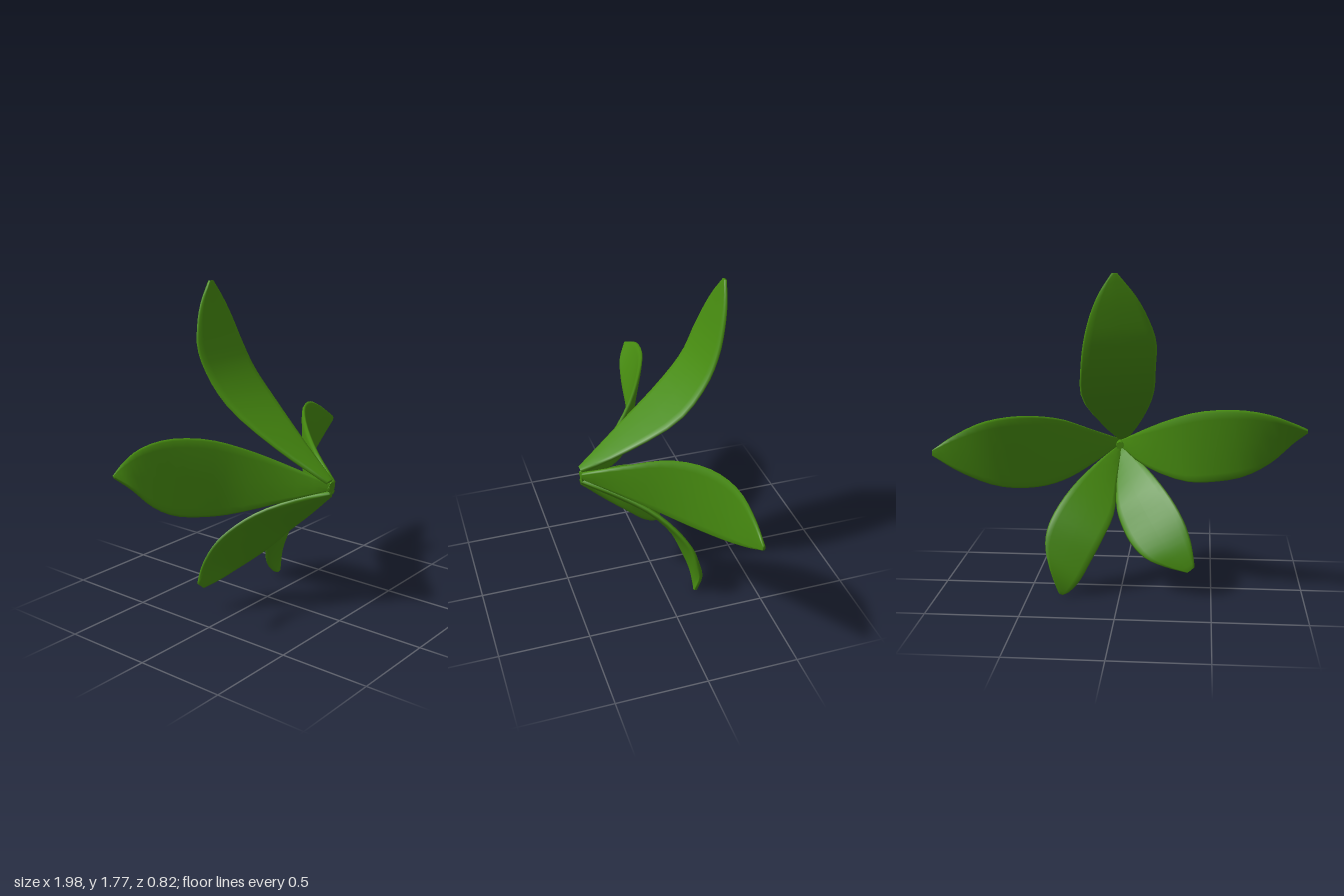
import * as THREE from 'three';

const material = new THREE.MeshStandardMaterial({ color: 0x468a10 });
const STEPS = 20;
const HALF_THICKNESS = 0.013;
// Across the blade: [fraction of width, thickness factor]; rounded rims, flat middle
const PROFILE = [[0, 0], [0.03, 0.75], [0.12, 1], [0.5, 1.1], [0.88, 1], [0.97, 0.75], [1, 0]];

const edgeCurve = (points) =>
  new THREE.CatmullRomCurve3(points.map((p) => new THREE.Vector3(...p)), false, 'centripetal');

// Thin solid blade lofted between its two edges, both running from root to tip
function makeLeaf(name, leftPoints, rightPoints) {
  const left = edgeCurve(leftPoints);
  const right = edgeCurve(rightPoints);
  const ring = [
    ...PROFILE,
    ...PROFILE.slice(1, -1).reverse().map(([f, h]) => [f, -h]),
  ];
  const n = ring.length;
  const positions = [];
  const index = [];
  const mid = (t) => left.getPoint(t).lerp(right.getPoint(t), 0.5);

  for (let i = 0; i <= STEPS; i++) {
    const t = i / STEPS;
    const a = left.getPoint(t);
    const b = right.getPoint(t);
    const along = mid(Math.min(1, t + 0.02)).sub(mid(Math.max(0, t - 0.02)));
    const normal = b.clone().sub(a).cross(along).normalize();
    const half = HALF_THICKNESS * (1 - 0.4 * t ** 4);
    for (const [f, h] of ring) {
      positions.push(...a.clone().lerp(b, f).addScaledVector(normal, h * half).toArray());
    }
  }
  for (let i = 0; i < STEPS; i++) {
    for (let j = 0; j < n; j++) {
      const k = (j + 1) % n;
      const p = i * n + j, q = i * n + k;
      index.push(p, q, q + n, p, q + n, p + n);
    }
  }
  // Close root and tip
  const root = positions.length / 3;
  positions.push(...mid(0).toArray(), ...mid(1).toArray());
  for (let j = 0; j < n; j++) {
    const k = (j + 1) % n;
    index.push(root, k, j, root + 1, STEPS * n + j, STEPS * n + k);
  }

  const geometry = new THREE.BufferGeometry();
  geometry.setAttribute('position', new THREE.Float32BufferAttribute(positions, 3));
  geometry.setIndex(index);
  geometry.computeVertexNormals();
  const leaf = new THREE.Mesh(geometry, material);
  leaf.name = name;
  return leaf;
}

export function createModel() {
  const group = new THREE.Group();
  group.name = 'leafCluster';

  // Tall leaf, arching up and back
  group.add(makeLeaf('topLeaf',
    [[0, 0.77, 0.4], [-0.1, 0.93, 0.15], [-0.18, 1.13, -0.12], [-0.195, 1.28, -0.25],
      [-0.2, 1.43, -0.32], [-0.16, 1.55, -0.355], [-0.1, 1.66, -0.38], [-0.01, 1.77, -0.4]],
    [[0.05, 0.77, 0.4], [0.13, 0.9, 0.18], [0.21, 1.1, -0.1], [0.195, 1.28, -0.25],
      [0.17, 1.43, -0.32], [0.13, 1.57, -0.36], [0.08, 1.68, -0.385], [0.02, 1.77, -0.4]]));

  // Side leaves, sweeping outward and back
  group.add(makeLeaf('leftLeaf',
    [[0.06, 0.77, 0.4], [0.2, 0.87, 0.18], [0.35, 0.96, 0.0], [0.54, 1.0, -0.15],
      [0.72, 0.98, -0.23], [0.88, 0.905, -0.255], [0.99, 0.83, -0.26]],
    [[0.05, 0.73, 0.4], [0.19, 0.655, 0.2], [0.32, 0.605, 0.04], [0.46, 0.59, -0.08],
      [0.65, 0.62, -0.19], [0.85, 0.71, -0.245], [0.99, 0.8, -0.26]]));
  group.add(makeLeaf('rightLeaf',
    [[0.03, 0.72, 0.4], [-0.12, 0.65, 0.2], [-0.35, 0.61, 0.03], [-0.5, 0.625, -0.025],
      [-0.67, 0.67, -0.065], [-0.82, 0.76, -0.08], [-0.92, 0.865, -0.1], [-0.99, 0.935, -0.15]],
    [[0.03, 0.76, 0.4], [-0.1, 0.86, 0.2], [-0.25, 0.95, 0.05], [-0.42, 1.02, -0.06],
      [-0.63, 1.05, -0.15], [-0.8, 1.03, -0.18], [-0.92, 0.985, -0.175], [-0.99, 0.95, -0.16]]));

  // Lower leaves, drooping
  group.add(makeLeaf('lowerRightLeaf',
    [[0.05, 0.69, 0.4], [0.05, 0.55, 0.26], [0.04, 0.42, 0.12], [0, 0.33, 0.04],
      [-0.06, 0.255, -0.04], [-0.14, 0.2, -0.1], [-0.25, 0.165, -0.13], [-0.37, 0.145, -0.155]],
    [[0.02, 0.71, 0.4], [-0.08, 0.67, 0.26], [-0.2, 0.59, 0.09], [-0.29, 0.5, -0.02],
      [-0.35, 0.41, -0.09], [-0.385, 0.32, -0.13], [-0.4, 0.25, -0.15], [-0.41, 0.18, -0.16]]));
  group.add(makeLeaf('lowerLeftLeaf',
    [[0.06, 0.72, 0.4], [0.17, 0.655, 0.22], [0.28, 0.565, 0.05], [0.36, 0.46, -0.06],
      [0.4, 0.37, -0.12], [0.41, 0.28, -0.15], [0.38, 0.15, -0.185], [0.335, 0.015, -0.17]],
    [[0.04, 0.7, 0.4], [0.045, 0.55, 0.19], [0.045, 0.42, 0.03], [0.1, 0.3, -0.09],
      [0.16, 0.19, -0.14], [0.22, 0.085, -0.175], [0.28, 0.02, -0.175], [0.31, 0.005, -0.17]]));

  // Small core where the leaves meet
  const core = new THREE.Mesh(new THREE.CylinderGeometry(0.022, 0.03, 0.06, 8), material);
  core.name = 'core';
  core.rotation.x = -Math.PI / 2;
  core.position.set(0.04, 0.735, 0.375);
  group.add(core);

  return group;
}
